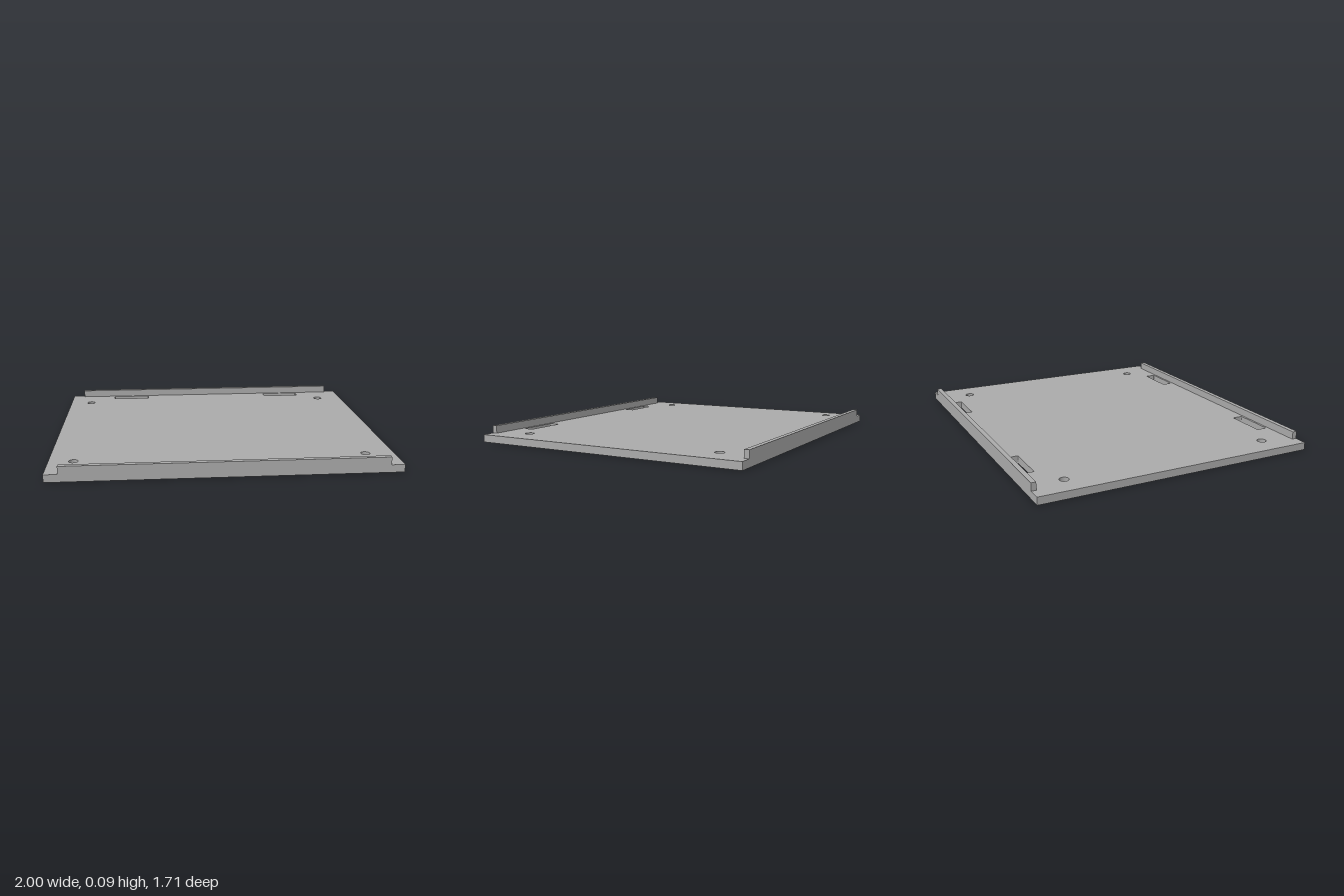
import * as THREE from 'three';

const WIDTH = 2, DEPTH = 1.706, THICK = 0.045, TOP = 0.091;
const RAIL_W = 1.844, RAIL_T = 0.029;

// Rounded rectangular opening
function slotPath(cx, cy, w, h, r) {
  const p = new THREE.Path();
  const x = w / 2 - r, y = h / 2 - r;
  p.absarc(cx + x, cy + y, r, 0, Math.PI / 2);
  p.absarc(cx - x, cy + y, r, Math.PI / 2, Math.PI);
  p.absarc(cx - x, cy - y, r, Math.PI, Math.PI * 1.5);
  p.absarc(cx + x, cy - y, r, Math.PI * 1.5, Math.PI * 2);
  p.closePath();
  return p;
}

export function createModel() {
  const group = new THREE.Group();
  group.name = 'tray';
  const grey = new THREE.MeshStandardMaterial({ color: 0xaaaaaa });
  grey.name = 'grey';

  // Base plate outline
  const outline = new THREE.Shape();
  outline.moveTo(-WIDTH / 2, -DEPTH / 2);
  outline.lineTo(WIDTH / 2, -DEPTH / 2);
  outline.lineTo(WIDTH / 2, DEPTH / 2);
  outline.lineTo(-WIDTH / 2, DEPTH / 2);
  outline.closePath();

  // Slots and screw holes along the front and back
  for (const side of [-1, 1]) {
    for (const x of [-0.566, 0.566]) {
      outline.holes.push(slotPath(x, side * 0.778, 0.252, 0.064, 0.006));
    }
    for (const x of [-0.858, 0.831]) {
      const hole = new THREE.Path();
      hole.absarc(x, side * 0.644, 0.027, 0, Math.PI * 2);
      outline.holes.push(hole);
    }
  }

  const plateGeometry = new THREE.ExtrudeGeometry(outline, {
    depth: THICK, bevelEnabled: false, curveSegments: 16,
  });
  plateGeometry.rotateX(-Math.PI / 2);
  const plate = new THREE.Mesh(plateGeometry, grey);
  plate.name = 'basePlate';
  group.add(plate);

  // Raised rails flush with the front and back edges
  for (const [name, side] of [['frontRail', 1], ['backRail', -1]]) {
    const rail = new THREE.Mesh(new THREE.BoxGeometry(RAIL_W, TOP - THICK, RAIL_T), grey);
    rail.name = name;
    rail.position.set(0, (TOP + THICK) / 2, side * (DEPTH - RAIL_T) / 2);
    group.add(rail);
  }
  return group;
}
